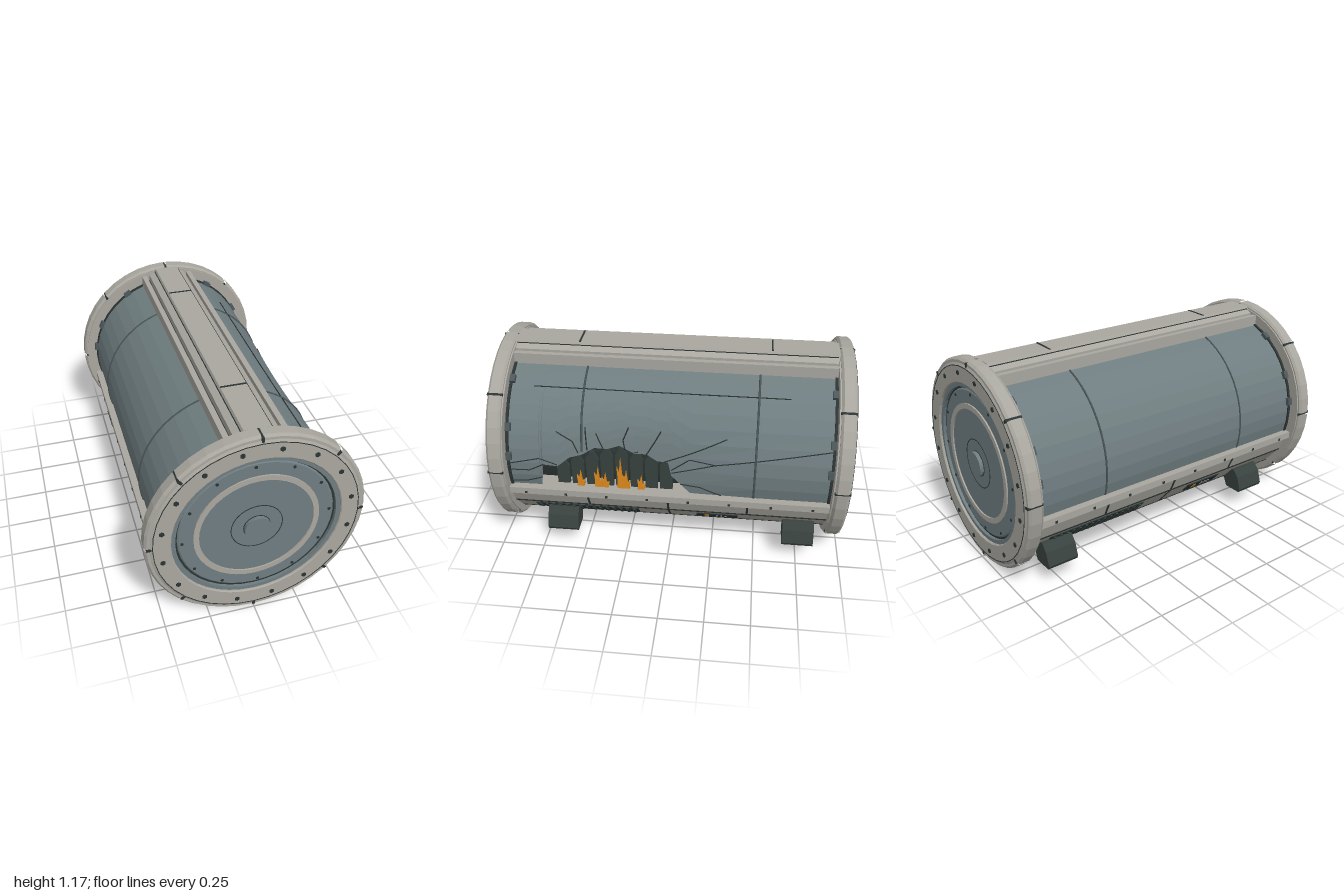
import * as THREE from 'three';

const mat = (name, color, side = THREE.FrontSide) => {
  const m = new THREE.MeshStandardMaterial({ color, side });
  m.name = name;
  return m;
};
const shell = mat('warm grey shell', 0xa9a79f);
const glass = mat('blue grey glass', 0x6f7d80, THREE.DoubleSide);
const seam = mat('deep glass seam', 0x4c585b);
const dark = mat('charcoal', 0x2c3434, THREE.DoubleSide);
const footMat = mat('dark slate', 0x38423f);
const fire = mat('flame orange', 0xe08a1c, THREE.DoubleSide);

const CY = 0.585, R = 0.5, rad = THREE.MathUtils.degToRad;
const angleOf = y => Math.asin((y - CY) / R);

function add(parent, name, geo, material, x = 0, y = 0, z = 0) {
  const m = new THREE.Mesh(geo, material);
  m.name = name;
  m.position.set(x, y, z);
  parent.add(m);
  return m;
}
function flat(geo) {
  const g = geo.index ? geo.toNonIndexed() : geo;
  g.computeVertexNormals();
  return g;
}
// Revolved profile of [radius, z] points around the z axis
const turned = (pts, seg = 40, start = 0, len = Math.PI * 2) =>
  flat(new THREE.LatheGeometry(pts.map(p => new THREE.Vector2(...p)), seg, start, len).rotateX(Math.PI / 2));
const hoop = (r0, r1, z0, z1) => turned([[r0, z0], [r1, z0], [r1, z1], [r0, z1], [r0, z0]]);
// Cross-section of [x, y] points pulled along z
function pulled(pts, depth) {
  const s = new THREE.Shape(pts.map(p => new THREE.Vector2(...p)));
  return new THREE.ExtrudeGeometry(s, { depth, bevelEnabled: false }).translate(0, 0, -depth / 2);
}
const box = (x, y, z) => new THREE.BoxGeometry(x, y, z);

// Upper edge of the breach as [z, y]
const breach = [[-0.9, 0.44], [-0.5, 0.44], [-0.13, 0.44], [-0.07, 0.51], [-0.02, 0.56], [0.0, 0.65], [0.06, 0.65],
  [0.12, 0.69], [0.19, 0.69], [0.27, 0.735], [0.34, 0.71], [0.41, 0.715], [0.48, 0.67], [0.55, 0.65],
  [0.62, 0.59], [0.7, 0.6], [0.71, 0.5], [0.66, 0.5], [0.67, 0.44], [0.9, 0.44]]
  .map(([z, y], i) => [i === 17 ? 0.715 : i === 18 ? 0.72 : z, y]);
const dentR = (z, a) => R - 0.045 * Math.exp(-(((z - 0.2) / 0.42) ** 2) - ((a - 0.15) / 0.45) ** 2);

// Curved glass sheet: cols are [z, lower angle], all ending at the upper angle
function sheet(cols, top, rows, radius) {
  const pos = [], idx = [];
  cols.forEach(([z, low], i) => {
    for (let j = 0; j <= rows; j++) {
      const a = low + (top - low) * j / rows, r = radius(z, a), k = i * (rows + 1) + j;
      pos.push(r * Math.cos(a), r * Math.sin(a), z);
      if (i && j < rows) {
        const p = k - rows - 1;
        idx.push(p, p + 1, k, p + 1, k + 1, k);
      }
    }
  });
  const g = new THREE.BufferGeometry();
  g.setAttribute('position', new THREE.Float32BufferAttribute(pos, 3));
  g.setIndex(idx);
  return flat(g);
}

function endCap() {
  const g = new THREE.Group();
  // Collar with eight separated rim segments
  add(g, 'endRing', turned([[0.45, 0.9], [0.565, 0.9], [0.565, 0.985], [0.545, 0.995], [0.455, 0.995], [0.45, 0.99], [0.45, 0.9]]), shell);
  add(g, 'rimGroove', hoop(0.542, 0.546, 0.99, 0.9965), dark);
  for (let i = 0; i < 8; i++) {
    const a = i * Math.PI / 4;
    add(g, 'rimSegment', turned([[0.55, 0.908], [0.573, 0.908], [0.585, 0.92], [0.585, 0.975], [0.573, 0.988], [0.55, 0.988], [0.55, 0.908]],
      5, a + 0.014, Math.PI / 4 - 0.028), shell);
    const n = add(g, 'rimNotch', box(0.025, 0.014, 0.088), dark, 0.562 * Math.cos(a), 0.562 * Math.sin(a), 0.949);
    n.rotation.z = a;
  }
  // Recessed lid with its rings and hub
  add(g, 'lidLip', hoop(0.427, 0.452, 0.9, 0.982), glass);
  add(g, 'lidGroove', hoop(0.41, 0.43, 0.9, 0.965), dark);
  add(g, 'lid', turned([[0, 0.9], [0.416, 0.9], [0.416, 0.966], [0.408, 0.972], [0, 0.972]]), glass);
  add(g, 'lidBand', hoop(0.305, 0.335, 0.95, 0.98), shell);
  add(g, 'hubSeam', hoop(0.135, 0.139, 0.95, 0.974), dark);
  add(g, 'hubFootSeam', hoop(0.069, 0.0725, 0.95, 0.975), dark);
  add(g, 'hub', turned([[0, 0.95], [0.07, 0.95], [0.07, 0.995], [0, 0.995]], 24), glass);
  const bolts = (n, r, offset, size, z) => {
    for (let i = 0; i < n; i++) {
      const a = rad(offset) + i * Math.PI * 2 / n;
      add(g, 'bolt', new THREE.CylinderGeometry(size, size, 0.01, 6).rotateX(Math.PI / 2), dark, r * Math.cos(a), r * Math.sin(a), z);
    }
  };
  bolts(16, 0.505, 11.25, 0.014, 0.995);
  bolts(12, 0.392, 3, 0.009, 0.971);
  // Inner collar behind the ring
  add(g, 'innerCollar', hoop(0.4, 0.508, 0.885, 0.905), dark);
  for (const a of [8, 27, 58, 122, 153, 172]) {
    const c = add(g, 'collarClip', box(0.022, 0.045, 0.03), seam, 0.51 * Math.cos(rad(a)), 0.51 * Math.sin(rad(a)), 0.885);
    c.rotation.z = rad(a);
  }
  return g;
}

// Rails, hull seams, vent and control plate for one flank
function flank() {
  const g = new THREE.Group();
  add(g, 'upperRail', box(0.03, 0.12, 1.81), shell, 0.148, 0.475);
  add(g, 'lowerRail', box(0.06, 0.04, 1.81), shell, 0.492, -0.155);
  for (let z = -0.81; z < 0.9; z += 0.231)
    add(g, 'railBolt', box(0.006, 0.014, 0.014), dark, 0.522, -0.163, z);
  const rows = [[-17, -32.5, [-0.45, 0, 0.46]], [-32.5, -50, [0]], [-50, -63, [-0.45, 0, 0.46]], [-63, -77, [-0.45, 0, 0.46]]];
  const onRow = ([a, b]) => {
    const row = new THREE.Group(), m = rad((a + b) / 2), ap = 0.53 * Math.cos(rad((a - b) / 2));
    row.name = 'hullRow';
    row.position.set(ap * Math.cos(m), ap * Math.sin(m), 0);
    row.rotation.z = m;
    g.add(row);
    return row;
  };
  rows.forEach((row, i) => {
    const r = onRow(row), h = 1.06 * Math.sin(rad((row[0] - row[1]) / 2));
    for (const z of row[2]) add(r, 'panelSeam', box(0.004, h, 0.012), dark, 0, 0, z);
    if (i !== 2) add(r, 'rowSeam', box(0.006, 0.009, 1.8), dark, 0, -h / 2 + 0.004);
    if (i === 1) {
      add(r, 'vent', box(0.012, 0.1, 0.61), dark, 0, 0, 0.485);
      for (let k = 0; k < 15; k++) add(r, 'ventSlat', box(0.024, 0.085, 0.014), footMat, 0, 0, 0.205 + k * 0.04);
      add(r, 'controlPlate', box(0.012, 0.08, 0.24), dark, 0, 0, -0.28);
      add(r, 'controlLamp', box(0.018, 0.035, 0.025), fire, 0, 0, -0.22);
      for (let k = 0; k < 3; k++) add(r, 'controlSwitch', box(0.018, 0.03, 0.01), shell, 0, 0, -0.28 - k * 0.025);
    }
  });
  return g;
}

export function createModel() {
  const root = new THREE.Group();
  root.name = 'breachedCapsule';
  const body = new THREE.Group();
  body.name = 'capsuleBody';
  body.position.y = CY;
  root.add(body);

  for (const turn of [0, Math.PI]) {
    const cap = endCap(), side = flank();
    cap.name = turn ? 'backCap' : 'frontCap';
    side.name = turn ? 'rightFlank' : 'leftFlank';
    cap.rotation.y = side.rotation.y = turn;
    body.add(cap, side);
  }

  // Dark core, lower hull and the two spines
  add(body, 'core', turned([[0, -0.9], [0.41, -0.9], [0.41, 0.9], [0, 0.9]]), dark);
  add(body, 'spineBed', box(0.31, 0.2, 1.8), dark, 0, 0.4);
  const arc = [-15, -32.5, -50, -63, -77].map(a => [0.53 * Math.cos(rad(a)), 0.53 * Math.sin(rad(a))]);
  add(body, 'lowerHull', pulled([...arc.map(([x, y]) => [-x, y]), ...arc.slice().reverse()], 1.8), shell);
  const spine = [[0.115, 0.4], [0.115, 0.54], [0.078, 0.558], [0.07, 0.575], [-0.07, 0.575], [-0.078, 0.558], [-0.115, 0.54], [-0.115, 0.4]];
  for (const s of [1, -1]) {
    const sp = add(body, s > 0 ? 'topSpine' : 'bottomSpine', pulled(spine, 1.82), shell);
    sp.rotation.z = s > 0 ? 0 : Math.PI;
    for (const x of [-0.078, 0.078]) add(body, 'spineSeam', box(0.005, 0.006, 1.8), dark, x, s * 0.558);
    for (const z of [-0.54, 0.54]) add(body, 'spineMark', box(0.14, 0.006, 0.01), dark, 0, s * 0.575, z);
  }

  // Glass: whole on one side, dented and breached on the other
  const top = rad(71), low = angleOf(0.44);
  add(body, 'rightGlass', sheet([-0.9, 0.9].map(z => [z, Math.PI - top]), Math.PI - low, 10, () => R), glass);
  add(body, 'brokenGlass', sheet(breach.map(([z, y]) => [z, angleOf(y)]), top, 9, dentR), glass);
  for (const z of [-0.48, 0.48]) {
    const whole = new THREE.TorusGeometry(0.501, 0.006, 4, 14, top - low);
    add(body, 'glassHoop', whole, seam, 0, 0, z).rotation.z = Math.PI - top;
    const start = z > 0 ? angleOf(0.69) : low;
    const path = new THREE.CatmullRomCurve3(Array.from({ length: 12 }, (_, i) => {
      const a = start + (top - start) * i / 11, r = dentR(z, a) + 0.001;
      return new THREE.Vector3(r * Math.cos(a), r * Math.sin(a), z);
    }));
    add(body, 'brokenHoop', new THREE.TubeGeometry(path, 16, 0.006, 4), seam);
  }

  // Cracks as fine strips over the dented glass, given as [z, y] paths
  const cracks = [
    [[0.02, 0.65], [-0.15, 0.73], [-0.32, 0.81]], [[-0.02, 0.58], [-0.26, 0.66], [-0.9, 0.78]],
    [[-0.02, 0.6], [-0.12, 0.68], [-0.27, 0.66]], [[0.24, 0.71], [0.25, 0.77], [0.22, 0.84]],
    [[0.36, 0.71], [0.4, 0.8]], [[0.5, 0.68], [0.53, 0.75], [0.62, 0.8]], [[0.45, 0.7], [0.46, 0.83]],
    [[0.12, 0.69], [0.08, 0.76], [0.04, 0.83]], [[0.62, 0.6], [0.72, 0.64], [0.9, 0.6]],
    [[0.71, 0.51], [0.8, 0.48], [0.9, 0.47]], [[-0.07, 0.51], [-0.18, 0.5], [-0.3, 0.45]],
    [[0.7, 0.6], [0.78, 0.56], [0.9, 0.56]], [[0.76, 0.99], [0.1, 0.99], [-0.65, 0.99]]];
  for (const c of cracks) {
    const path = new THREE.CurvePath(), pts = [];
    for (let i = 1; i < c.length; i++)
      for (let k = i > 1 ? 1 : 0; k <= 6; k++) {
        const z = c[i - 1][0] + (c[i][0] - c[i - 1][0]) * k / 6, a = angleOf(c[i - 1][1] + (c[i][1] - c[i - 1][1]) * k / 6);
        const r = dentR(z, a) + 0.001;
        pts.push(new THREE.Vector3(r * Math.cos(a), r * Math.sin(a), z));
      }
    for (let i = 1; i < pts.length; i++) path.add(new THREE.LineCurve3(pts[i - 1], pts[i]));
    add(body, 'crack', new THREE.TubeGeometry(path, pts.length * 2, 0.0035, 4), dark);
  }

  // Pointed ribs and flames standing inside the breach, outlined in z and y
  const upright = (name, pts, thick, material, x, z) =>
    add(body, name, pulled(pts, thick).rotateY(Math.PI / 2), material, x, -0.14, z);
  [0.16, 0.2, 0.23, 0.26, 0.27, 0.25, 0.24, 0.21].forEach((h, i) =>
    upright('brokenRib', [[-0.035, 0], [0.035, 0], [0.037, h * 0.75], [0.012, h], [-0.01, h * 0.97], [-0.034, h * 0.8]], 0.02, footMat, 0.435, 0.6 - i * 0.084));
  for (const [z, h] of [[0.5, 0.11], [0.4, 0.14], [0.36, 0.1], [0.27, 0.21], [0.24, 0.13], [0.155, 0.1]])
    upright('flame', [[-0.02, 0], [0.02, 0], [0.027, h * 0.4], [0.012, h * 0.35], [0.004, h], [-0.006, h * 0.5], [-0.018, h * 0.7], [-0.014, h * 0.3]], 0.014, fire, 0.462, z);

  // Four feet
  const foot = [[0.36, 0.115], [0.47, 0.115], [0.48, 0.135], [0.455, 0.21], [0.42, 0.25], [0.3, 0.25]];
  for (const s of [1, -1])
    for (const z of [0.625, -0.75]) {
      const f = add(root, 'foot', pulled(foot, 0.18), footMat, 0, 0, z);
      if (s < 0) f.rotation.y = Math.PI;
    }
  return root;
}
